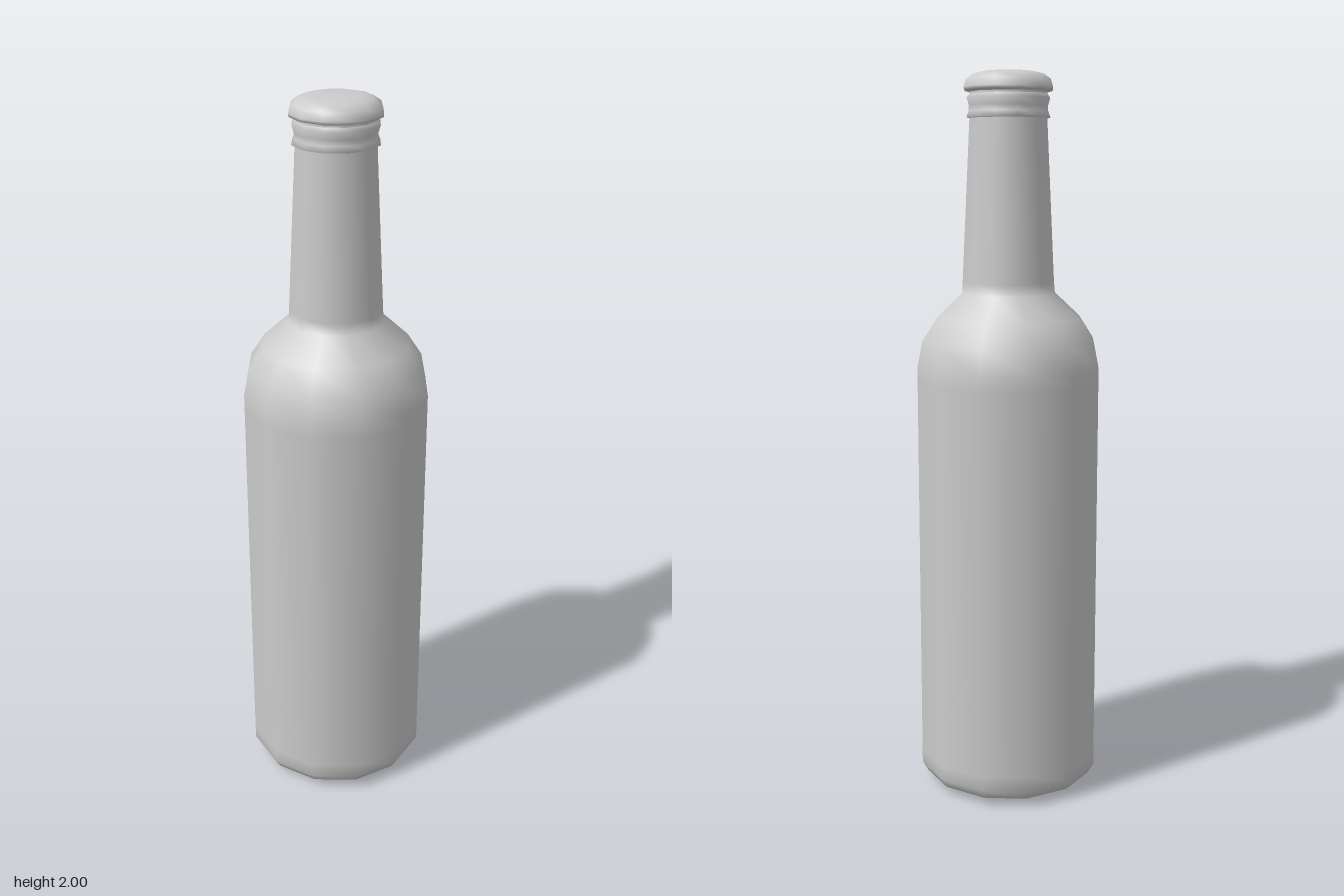
import * as THREE from 'three';

const SIDES = 12;

// Revolve a bottom-to-top [radius, height] profile into a smooth 12-sided part
function turned(name, profile) {
  const points = profile.map(([r, y]) => new THREE.Vector2(r, y));
  const material = new THREE.MeshStandardMaterial({ color: 0xcccccc, side: THREE.DoubleSide });
  const mesh = new THREE.Mesh(new THREE.LatheGeometry(points, SIDES), material);
  mesh.name = name;
  return mesh;
}

export function createModel() {
  const bottle = new THREE.Group();
  bottle.name = 'bottle';

  // Hollowed base, rounded foot, straight body, shoulder and tapering neck
  bottle.add(turned('glassBody', [
    [0, 0.05], [0.1, 0.042], [0.155, 0.012], [0.175, 0], [0.203, 0.003],
    [0.24, 0.022], [0.257, 0.05], [0.257, 0.09], [0.257, 1.17], [0.257, 1.21],
    [0.243, 1.28], [0.203, 1.342], [0.132, 1.408], [0.129, 1.44],
    [0.108, 1.87], [0.107, 1.95],
  ]));

  // Raised collar below the cap
  bottle.add(turned('neckCollar', [
    [0.104, 1.876], [0.116, 1.88], [0.11, 1.895], [0.109, 1.91], [0.115, 1.93], [0.106, 1.942],
  ]));

  // Crimped cap with a softly domed top
  bottle.add(turned('cap', [
    [0.104, 1.945], [0.122, 1.95], [0.123, 1.958], [0.117, 1.978],
    [0.098, 1.992], [0.07, 1.999], [0, 2],
  ]));

  return bottle;
}
